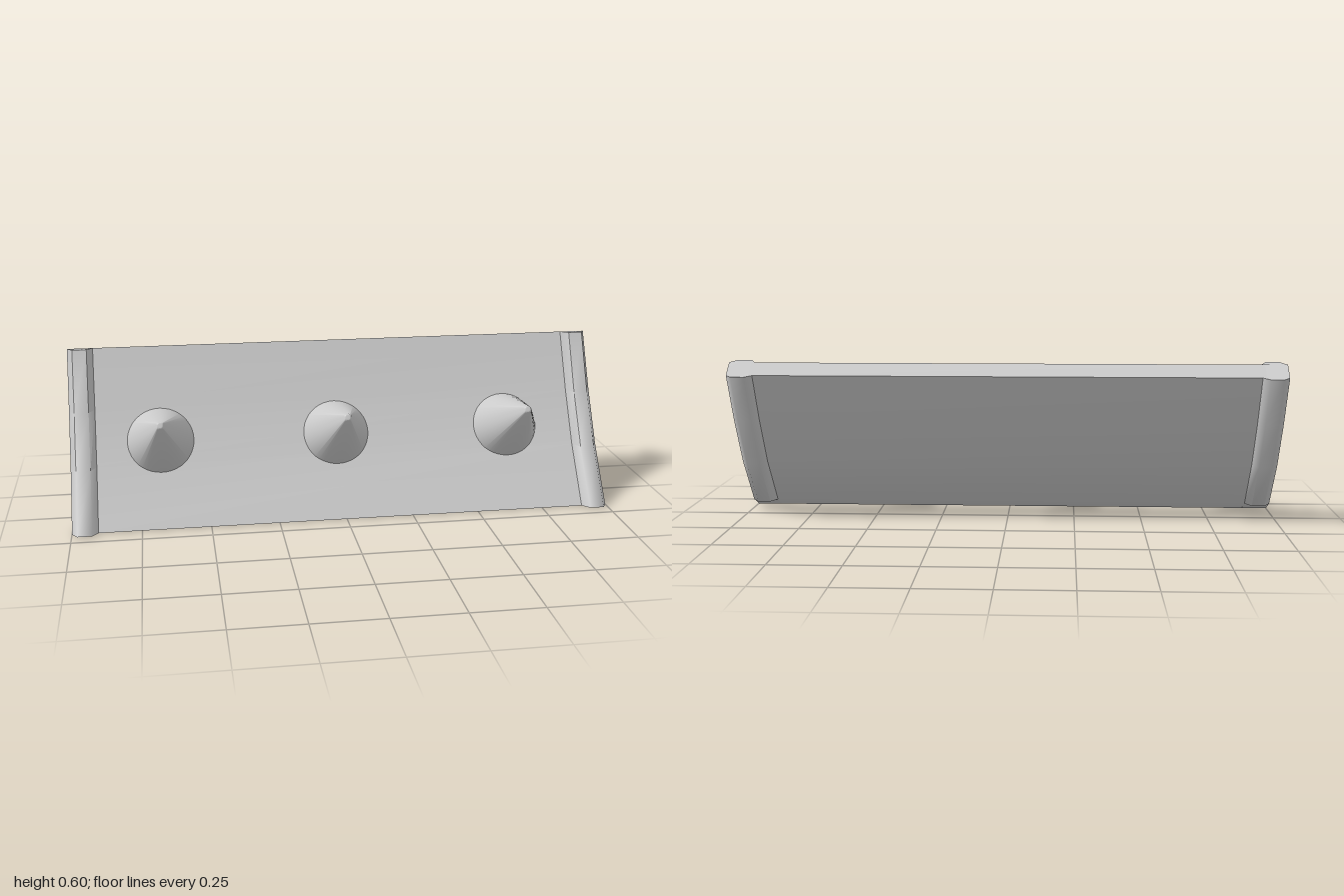
import * as THREE from 'three';
import { toCreasedNormals } from 'three/addons/utils/BufferGeometryUtils.js';

// Curved side profile: stations from bottom to top, each with four [z, y]
// points running from the front of the rim to its back.
const STATIONS = [
  [[0.21, 0.007], [0.17, 0.002], [0.1, 0.035], [0.068, 0.032]],
  [[0.064, 0.203], [0.022, 0.202], [-0.046, 0.21], [-0.078, 0.21]],
  [[-0.045, 0.391], [-0.086, 0.39], [-0.15, 0.382], [-0.181, 0.382]],
  [[-0.145, 0.605], [-0.188, 0.6], [-0.238, 0.558], [-0.267, 0.555]],
];

// Sweeps a section up the stations; rows are [profile point, half width]
function sweep(centreX, rows) {
  const ring = [
    [rows[0][0], -rows[0][1]],
    ...rows.map(([p, w]) => [p, w]),
    ...rows.slice(1).reverse().map(([p, w]) => [p, -w]),
  ];
  const n = ring.length;
  const last = STATIONS.length - 1;
  const positions = [];
  const index = [];
  for (const station of STATIONS) {
    for (const [p, dx] of ring) positions.push(centreX + dx, station[p][1], station[p][0]);
  }
  const quad = (a, b, c, d) => index.push(a, b, c, a, c, d);
  for (let s = 0; s < last; s++) {
    for (let i = 0; i < n; i++) {
      const j = (i + 1) % n;
      quad(s * n + i, s * n + j, (s + 1) * n + j, (s + 1) * n + i);
    }
  }
  // end caps, row by row
  for (let k = 0; k < rows.length - 1; k++) {
    const l0 = (n - k) % n, r0 = k + 1, l1 = n - k - 1, r1 = k + 2;
    const top = last * n;
    quad(top + l0, top + r0, top + r1, top + l1);
    quad(l0, l1, r1, r0);
  }
  const geometry = new THREE.BufferGeometry();
  geometry.setAttribute('position', new THREE.Float32BufferAttribute(positions, 3));
  geometry.setIndex(index);
  return toCreasedNormals(geometry, 1.05);
}

export function createModel() {
  const model = new THREE.Group();
  model.name = 'spikedPanel';
  const material = new THREE.MeshStandardMaterial({ color: 0xcccccc });
  const add = (name, geometry) => {
    const mesh = new THREE.Mesh(geometry, material);
    mesh.name = name;
    model.add(mesh);
    return mesh;
  };

  // curved plate between the rims
  add('plate', sweep(0, [[1, 0.92], [2, 0.92]]));

  // chamfered rims along both sides
  for (const side of [-1, 1]) {
    add(side > 0 ? 'leftRim' : 'rightRim',
      sweep(side * 0.953, [[0, 0.026], [1, 0.047], [2, 0.047], [3, 0.024]]));
  }

  // spikes with small rounded tips, standing square to the plate
  const base = new THREE.Vector3(0, 0.278, -0.022);
  const axis = new THREE.Vector3(0, 0.146, 0.284).normalize();
  const length = 0.322, tip = 0.017;
  const profile = [new THREE.Vector2(0, -0.01), new THREE.Vector2(0.126, -0.01)];
  for (let i = 0; i <= 5; i++) {
    const a = THREE.MathUtils.lerp(0.38, Math.PI / 2, i / 5);
    profile.push(new THREE.Vector2(i === 5 ? 0 : tip * Math.cos(a), length - tip + tip * Math.sin(a)));
  }
  const spikeGeometry = toCreasedNormals(new THREE.LatheGeometry(profile, 40), 0.8);
  [-0.67, -0.013, 0.645].forEach((x, i) => {
    const spike = add('spike' + (i + 1), spikeGeometry);
    spike.position.copy(base).setX(x);
    spike.quaternion.setFromUnitVectors(new THREE.Vector3(0, 1, 0), axis);
  });

  return model;
}
